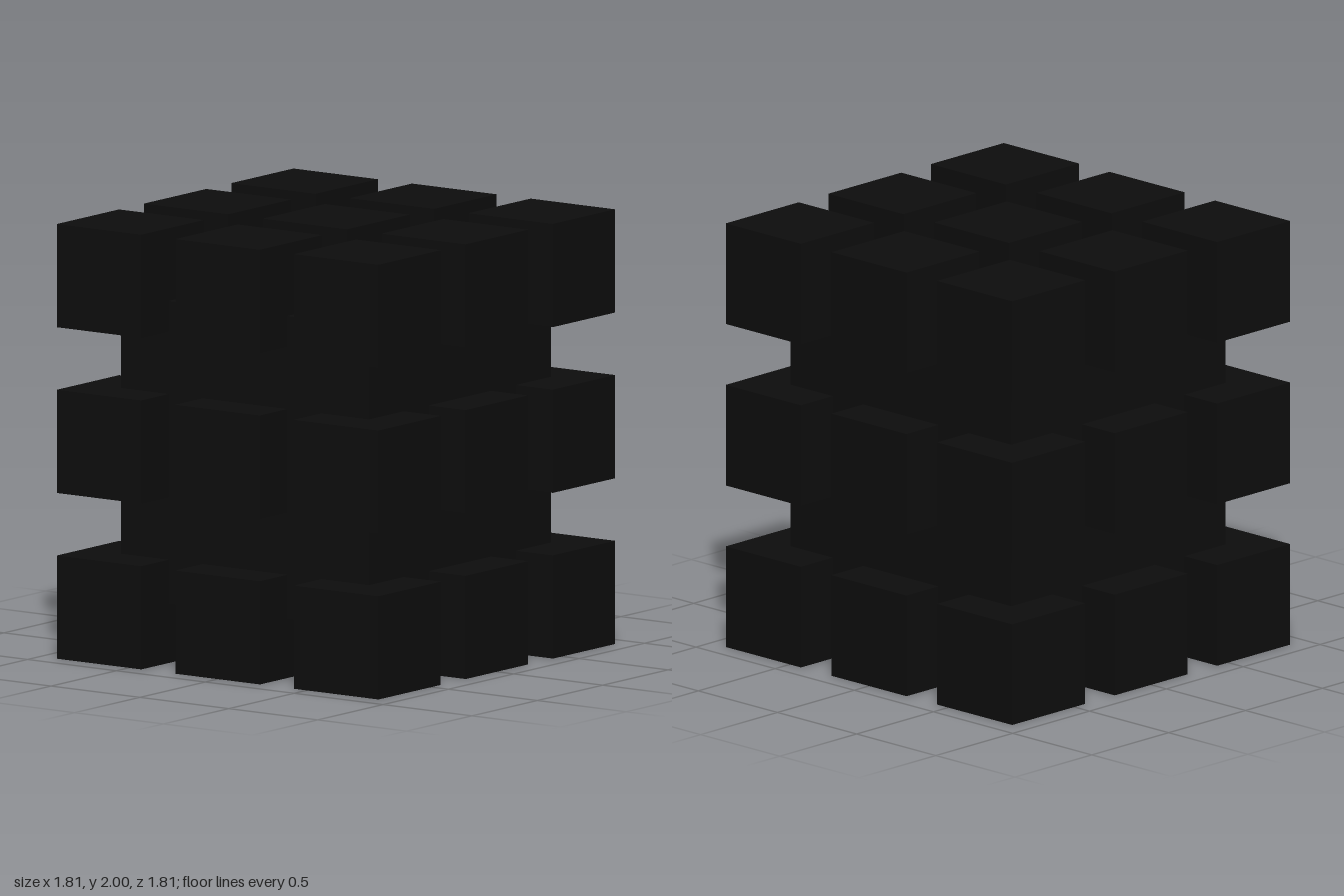
import * as THREE from 'three';

export function createModel() {
  const model = new THREE.Group();
  model.name = 'cubeLattice';
  const material = new THREE.MeshStandardMaterial({ color: 0x0d0d0d });

  // Inner block that joins all the small cubes
  const coreSize = 1.394;
  const core = new THREE.Mesh(new THREE.BoxGeometry(coreSize, coreSize, coreSize), material);
  core.name = 'core';
  core.position.y = 0.969;
  model.add(core);

  // 3 x 3 x 3 grid of small cubes, taller spacing than wide; the middle one is inside the core
  const size = 0.475;
  const spacing = 0.667;
  const rise = (2 - size) / 2;
  const cubeGeometry = new THREE.BoxGeometry(size, size, size);
  const layerNames = ['bottomLayer', 'middleLayer', 'topLayer'];
  layerNames.forEach((name, level) => {
    const layer = new THREE.Group();
    layer.name = name;
    layer.position.y = size / 2 + level * rise;
    for (let i = -1; i <= 1; i++) {
      for (let k = -1; k <= 1; k++) {
        if (level === 1 && i === 0 && k === 0) continue;
        const cube = new THREE.Mesh(cubeGeometry, material);
        cube.name = 'smallCube';
        cube.position.set(i * spacing, 0, k * spacing);
        layer.add(cube);
      }
    }
    model.add(layer);
  });

  return model;
}
